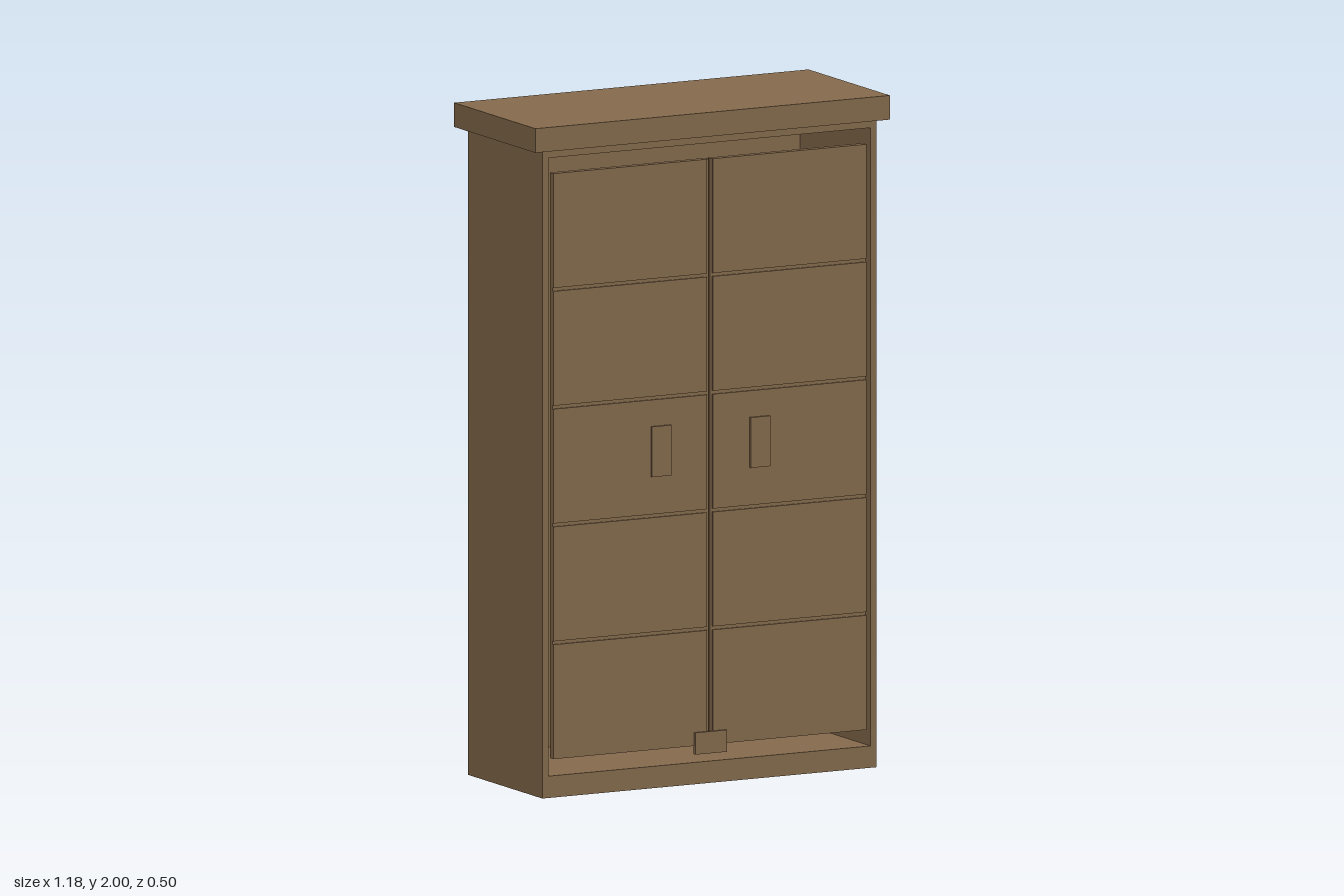
import * as THREE from 'three';

export function createModel() {
  const wood = new THREE.MeshStandardMaterial({ color: 0x84694b });
  wood.name = 'brown wood';
  const cabinet = new THREE.Group();
  cabinet.name = 'cabinet';

  // Box given by its extents on each axis
  function board(name, [x0, x1], [y0, y1], [z0, z1], parent = cabinet) {
    const mesh = new THREE.Mesh(new THREE.BoxGeometry(x1 - x0, y1 - y0, z1 - z0), wood);
    mesh.position.set((x0 + x1) / 2, (y0 + y1) / 2, (z0 + z1) / 2);
    mesh.name = name;
    parent.add(mesh);
  }

  // Hollow carcass
  const W = 0.557, front = 0.23, back = -0.227, inner = 0.537;
  board('base', [-W, W], [0, 0.065], [back, front]);
  board('topSlab', [-0.591, 0.591], [1.928, 2], [-0.25, 0.25]);
  board('backPanel', [-W, W], [0.065, 1.928], [back, -0.202]);
  board('innerTop', [-inner, inner], [1.905, 1.928], [-0.202, front]);
  board('rightSide', [-W, -inner], [0.065, 1.928], [-0.202, front]);
  board('leftSide', [inner, W], [0.065, 1.928], [-0.202, front]);

  // Two doors, each a leaf with five raised panels and a handle plate
  const bottom = 0.115, top = 1.858, rows = 5, gap = 0.01;
  const panelHeight = (top - bottom - gap * (rows - 1)) / rows;
  for (const side of [-1, 1]) {
    const door = new THREE.Group();
    door.name = side < 0 ? 'rightDoor' : 'leftDoor';
    cabinet.add(door);
    const span = (a, b) => (side < 0 ? [-b, -a] : [a, b]);
    board('doorLeaf', span(0.003, 0.522), [bottom, top], [0.212, 0.229], door);
    for (let i = 0; i < rows; i++) {
      const y = bottom + i * (panelHeight + gap);
      board('doorPanel', span(0.01, 0.522), [y, y + panelHeight], [0.229, 0.234], door);
    }
    board('handle', span(0.132, 0.197), [0.928, 1.078], [0.234, 0.241], door);
  }

  // Latch joining the doors at the bottom
  board('latch', [-0.053, 0.053], [0.09, 0.155], [0.229, 0.241]);

  return cabinet;
}
